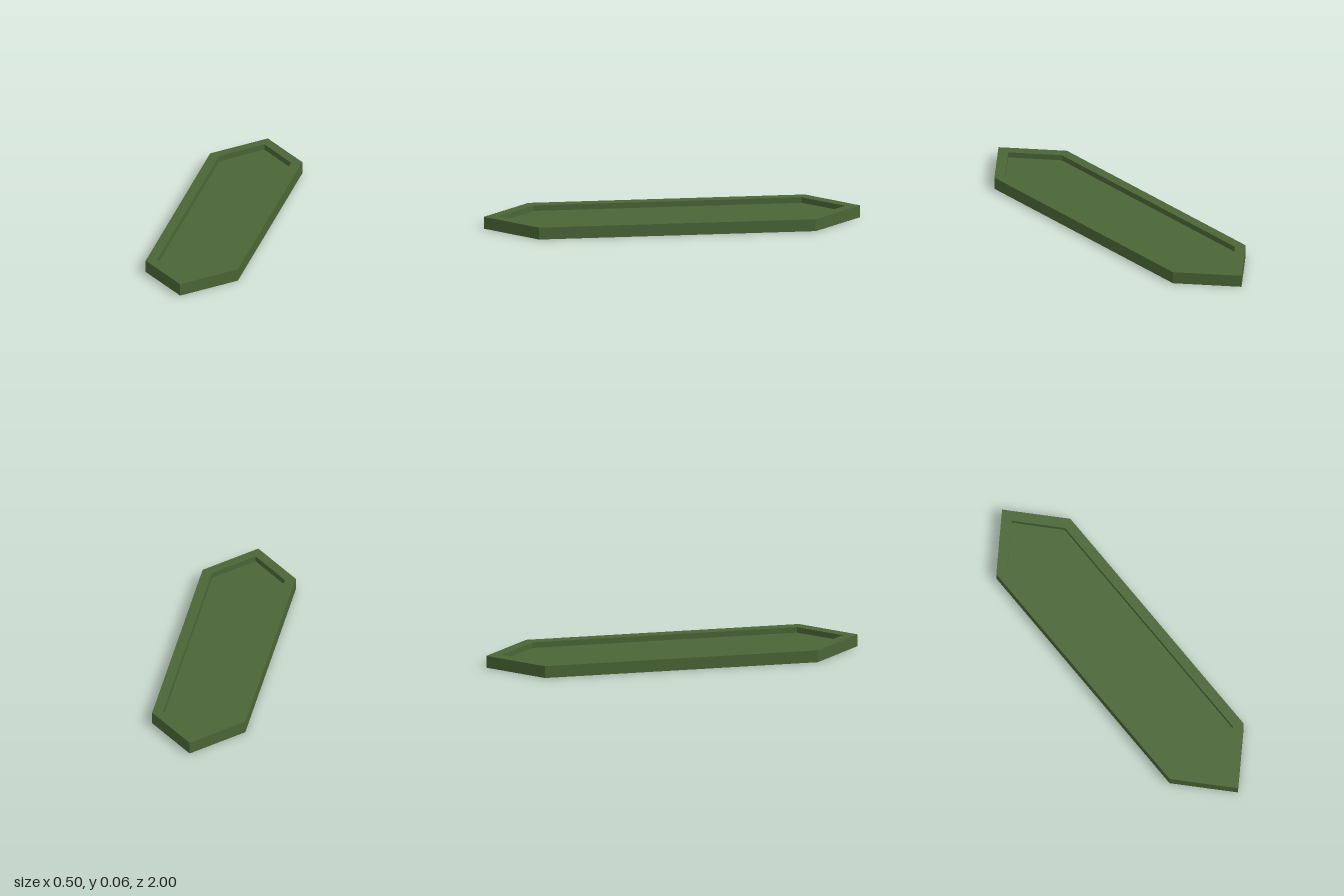
import * as THREE from 'three';

// Six-sided outline, pointed at both ends, listed as [x, z]
const outline = (w, shoulder, tip) => [
  [0, tip], [w, shoulder], [w, -shoulder], [0, -tip], [-w, -shoulder], [-w, shoulder],
];

// Flat-faced band joining two outlines at two heights
function band(from, y0, to, y1) {
  const pos = [];
  from.forEach(([ax, az], i) => {
    const j = (i + 1) % from.length;
    const a = [ax, y0, az];
    const b = [from[j][0], y0, from[j][1]];
    const c = [to[j][0], y1, to[j][1]];
    const d = [to[i][0], y1, to[i][1]];
    pos.push(...a, ...b, ...c, ...a, ...c, ...d);
  });
  const geo = new THREE.BufferGeometry();
  geo.setAttribute('position', new THREE.Float32BufferAttribute(pos, 3));
  geo.computeVertexNormals();
  return geo;
}

export function createModel() {
  const group = new THREE.Group();
  group.name = 'tray';
  const green = new THREE.MeshStandardMaterial({ color: 0x4a6536, side: THREE.DoubleSide });
  green.name = 'mossGreen';

  const add = (name, geo) => {
    const mesh = new THREE.Mesh(geo, green);
    mesh.name = name;
    group.add(mesh);
  };

  const top = 0.065, floorY = 0.035;
  const outer = outline(0.25, 0.735, 1);
  const inner = outline(0.195, 0.712, 0.92);

  // Thin shell, open underneath
  add('outerWall', band(outer, 0, outer, top));
  add('rim', band(outer, top, inner, top));
  add('recessWall', band(inner, top, inner, floorY));

  // Sunken floor
  const shape = new THREE.Shape(inner.map(([x, z]) => new THREE.Vector2(x, -z)));
  add('floor', new THREE.ShapeGeometry(shape).rotateX(-Math.PI / 2).translate(0, floorY, 0));

  return group;
}
